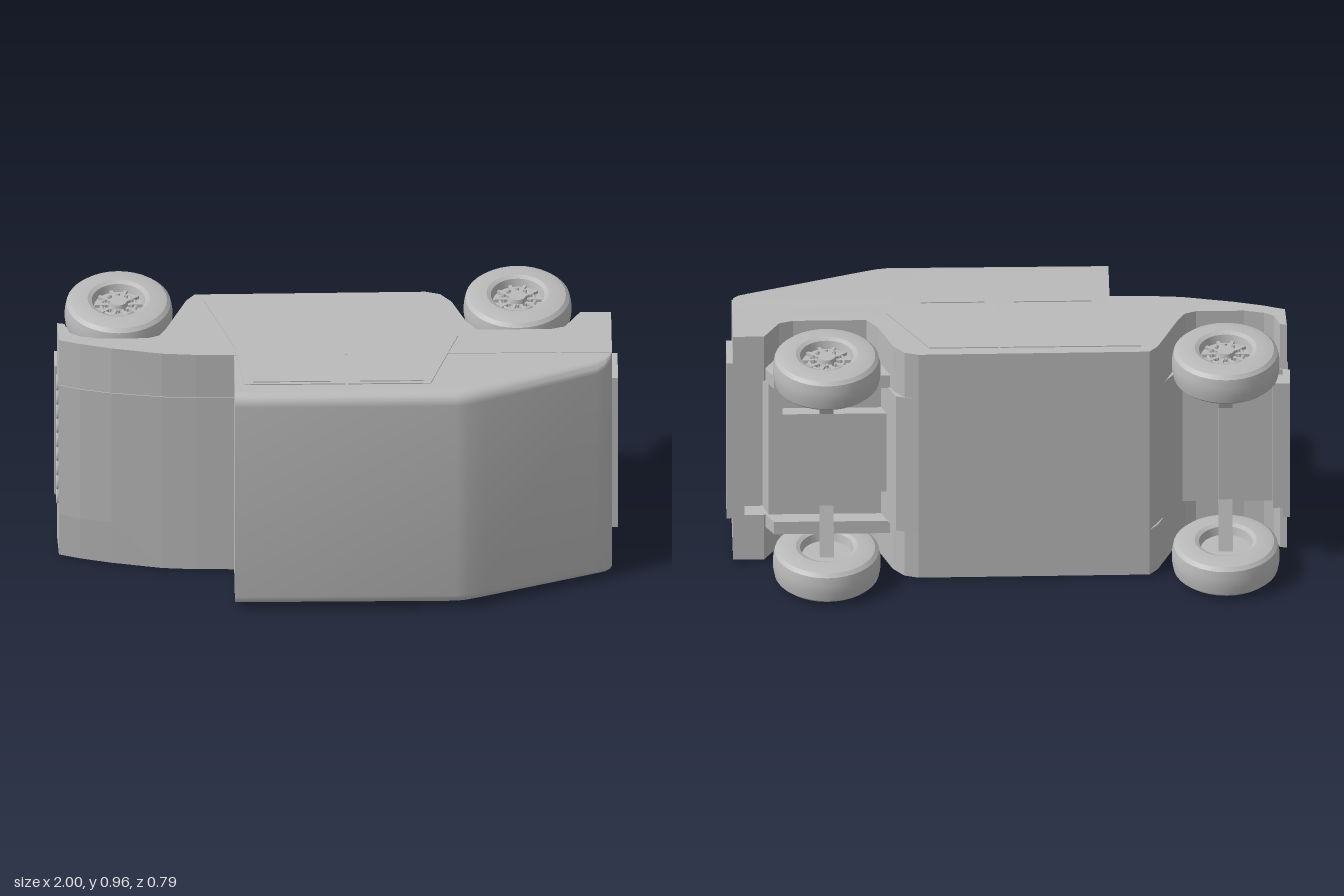
import * as THREE from 'three';
import { toCreasedNormals } from 'three/addons/utils/BufferGeometryUtils.js';

// The vehicle lies on its side: nose at -x, roof at +z, width along y.
const MID = 0.483;

export function createModel() {
  const model = new THREE.Group();
  const grey = new THREE.MeshStandardMaterial({ color: 0xbababa });
  grey.name = 'plain grey';

  const add = (name, geo, parent = model) => {
    const mesh = new THREE.Mesh(geo, grey);
    mesh.name = name;
    parent.add(mesh);
    return mesh;
  };
  const box = (name, x0, x1, y0, y1, z0, z1) =>
    add(name, new THREE.BoxGeometry(x1 - x0, y1 - y0, z1 - z0)
      .translate((x0 + x1) / 2, (y0 + y1) / 2, (z0 + z1) / 2));
  // Extrude an (x, z) outline between two heights
  const slab = (pts, y0, y1) =>
    new THREE.ExtrudeGeometry(new THREE.Shape(pts.map(p => new THREE.Vector2(...p))),
      { depth: y1 - y0, bevelEnabled: false }).rotateX(Math.PI / 2).translate(0, y1, 0);
  // Same slab on both flanks, mirrored about the middle of the width
  const pair = (name, pts, y0, y1, edit = g => g) => {
    add(name + 'Lower', edit(slab(pts, y0, y1)));
    add(name + 'Upper', edit(slab(pts, 2 * MID - y1, 2 * MID - y0)));
  };

  // Bonnet line shared by the fenders and the core
  const bonnet = [[-0.36, 0.15], [-0.5, 0.148], [-0.62, 0.14], [-0.8, 0.115], [-0.91, 0.09], [-0.985, 0.065]];

  // Fenders with wheel arches; the outer front corner falls away slightly
  const fender = [
    ...bonnet, [-0.99, -0.05], [-0.965, -0.045], [-0.945, 0.01], [-0.91, 0.03], [-0.84, 0.045],
    [-0.67, 0.045], [-0.63, 0.03], [-0.605, -0.01], [-0.53, -0.18], [-0.5, -0.215],
    [0.32, -0.22], [0.37, -0.205], [0.41, -0.16], [0.46, -0.04], [0.5, 0.01],
    [0.76, 0.01], [0.81, -0.005], [0.865, -0.09], [0.975, -0.09], [0.975, 0.15],
  ];
  const dropCorner = geo => {
    const p = geo.attributes.position;
    for (let i = 0; i < p.count; i++) {
      const t = THREE.MathUtils.clamp((-0.6 - p.getX(i)) / 0.25, 0, 1);
      if (p.getZ(i) > 0.06 && Math.abs(p.getY(i) - MID) > 0.4) p.setZ(i, p.getZ(i) - 0.013 * t);
    }
    geo.computeVertexNormals();
    return geo;
  };
  pair('fender', fender, 0.012, 0.2, dropCorner);

  // Centre of the body with the bonnet panel and floor
  add('bodyCore', slab([
    ...bonnet.map(([x, z]) => [x, z + 0.003]), [-0.99, -0.05], [-0.96, -0.05], [-0.94, -0.03], [-0.62, -0.03],
    [-0.57, -0.1], [-0.5, -0.215], [0.32, -0.22], [0.4, -0.2], [0.45, -0.09],
    [0.85, -0.09], [0.87, -0.03], [0.935, -0.03], [0.935, -0.09], [0.975, -0.09], [0.975, 0.15],
  ], 0.2, 2 * MID - 0.2));

  // Rounded cabin lofted along its length: [x, roof z, half width at roof, corner radius]
  const stations = [
    [-0.365, 0.392, 0.461, 0.045], [0.42, 0.394, 0.461, 0.045], [0.46, 0.387, 0.461, 0.045],
    [0.52, 0.367, 0.462, 0.045], [0.92, 0.224, 0.467, 0.04], [0.95, 0.208, 0.468, 0.035],
    [0.968, 0.184, 0.469, 0.025], [0.975, 0.155, 0.469, 0.015],
  ];
  const section = ([x, roof, half, r]) => {
    const side = [[0.471, 0.02], [0.471, 0.1]];
    for (let k = 0; k <= 6; k++) {
      const a = k / 6 * Math.PI / 2;
      side.push([half - r + r * Math.cos(a), roof - r + r * Math.sin(a)]);
    }
    return [...side.map(([h, z]) => [x, MID + h, z]), ...side.reverse().map(([h, z]) => [x, MID - h, z])];
  };
  const rings = stations.map(section), n = rings[0].length, index = [];
  for (let i = 0; i < rings.length - 1; i++) {
    for (let j = 0; j < n; j++) {
      const a = i * n + j, b = i * n + (j + 1) % n;
      index.push(a, b, a + n, b, b + n, a + n);
    }
  }
  const last = (rings.length - 1) * n;
  for (let j = 1; j < n - 1; j++) index.push(0, j + 1, j, last, last + j, last + j + 1);
  const cabin = new THREE.BufferGeometry();
  cabin.setAttribute('position', new THREE.Float32BufferAttribute(rings.flat(2), 3));
  cabin.setIndex(index);
  add('cabin', toCreasedNormals(cabin, 0.6));

  // Doors and window plates on both flanks, leaning in with the cabin sides
  const lean = geo => {
    const p = geo.attributes.position;
    for (let i = 0; i < p.count; i++) {
      const inward = Math.max(0, p.getZ(i) - 0.1) * 0.04;
      p.setY(i, p.getY(i) - Math.sign(p.getY(i) - MID) * inward);
    }
    geo.computeVertexNormals();
    return geo;
  };
  pair('frontDoorSill', [[-0.47, -0.18], [0.028, -0.18], [0.028, 0.1], [-0.365, 0.1]], 0.008, 0.03);
  pair('frontDoor', [[-0.365, 0.1], [0.028, 0.1], [0.028, 0.32], [-0.33, 0.32]], 0.008, 0.03, lean);
  pair('rearDoorSill', [[0.036, -0.18], [0.28, -0.18], [0.43, 0.05], [0.412, 0.1], [0.036, 0.1]], 0.008, 0.03);
  pair('rearDoor', [[0.036, 0.1], [0.412, 0.1], [0.33, 0.32], [0.036, 0.32]], 0.008, 0.03, lean);
  const rect = (x0, x1, z0, z1) => [[x0, z0], [x1, z0], [x1, z1], [x0, z1]];
  pair('frontWindow', rect(-0.3, -0.025, 0.11, 0.31), 0.004, 0.02, lean);
  pair('rearWindow', rect(0.08, 0.305, 0.11, 0.31), 0.004, 0.02, lean);

  // Tail panel, underbody rails and rear axle housing
  box('tailPanel', 0.97, 0.997, 0.155, 0.81, -0.04, 0.11);
  pair('rearRail', [[0.42, 0.02], [0.42, -0.14], [0.83, -0.14], [0.86, -0.09], [0.86, 0.02]], 0.15, 0.202);
  box('rearUnderbodyBox', 0.43, 0.8, 0.32, 0.65, -0.13, -0.05);

  // Front bumper, with a row of rings on the nose above it
  box('frontBumper', -1, -0.975, 0.2, 0.765, -0.14, -0.05);
  box('bumperBackBar', -0.98, -0.94, 0.22, 0.745, -0.11, -0.03);
  for (let i = 0; i < 9; i++) {
    add('noseRing', new THREE.TorusGeometry(0.026, 0.005, 6, 16)
      .rotateY(Math.PI / 2).translate(-0.99, 0.235 + i * 0.062, 0.0));
  }

  // Cranked axles and wheels
  const tyre = [[0.0001, -0.03], [0.088, -0.03], [0.095, -0.06], [0.11, -0.067], [0.145, -0.067],
    [0.172, -0.06], [0.185, -0.048], [0.191, -0.018]];
  const profile = [...tyre, ...tyre.map(([r, h]) => [r, -h]).reverse()].map(p => new THREE.Vector2(...p));
  const tyreGeo = toCreasedNormals(new THREE.LatheGeometry(profile, 36), 0.4);

  const makeWheel = (x, y, z, outward) => {
    const wheel = new THREE.Group();
    wheel.name = 'wheel';
    add('tyre', tyreGeo, wheel);
    add('rimRing', new THREE.TorusGeometry(0.062, 0.007, 6, 28).rotateX(Math.PI / 2).translate(0, 0.034, 0), wheel);
    add('hub', new THREE.CylinderGeometry(0.03, 0.036, 0.03, 20).translate(0, 0.042, 0), wheel);
    for (let i = 0; i < 10; i++) {
      const a = i / 10 * Math.PI * 2;
      add('spoke', new THREE.BoxGeometry(0.05, 0.014, 0.012).translate(0.06, 0.035, 0).rotateY(a), wheel);
      add('bolt', new THREE.CylinderGeometry(0.005, 0.005, 0.012, 6)
        .translate(0.05, 0.046, 0).rotateY(a + 0.31), wheel);
    }
    wheel.position.set(x, y, z);
    if (outward < 0) wheel.rotation.x = Math.PI;
    model.add(wheel);
  };

  for (const [x, z] of [[-0.77, -0.195], [0.645, -0.207]]) {
    // Axle outline in (y, z): high centre, lower ends
    const edge = [[0.1, z], [0.29, z + 0.06], [0.676, z + 0.06], [0.866, z]];
    const outline = [...edge.map(([y, h]) => [h + 0.024, y]), ...edge.reverse().map(([y, h]) => [h - 0.024, y])];
    const axle = new THREE.ExtrudeGeometry(new THREE.Shape(outline.map(p => new THREE.Vector2(...p))),
      { depth: 0.05, bevelEnabled: false });
    add('axle', axle.rotateY(-Math.PI / 2).translate(x + 0.025, 0, 0));
    makeWheel(x, 0.077, z, -1);
    makeWheel(x, 0.888, z, 1);
  }
  return model;
}
